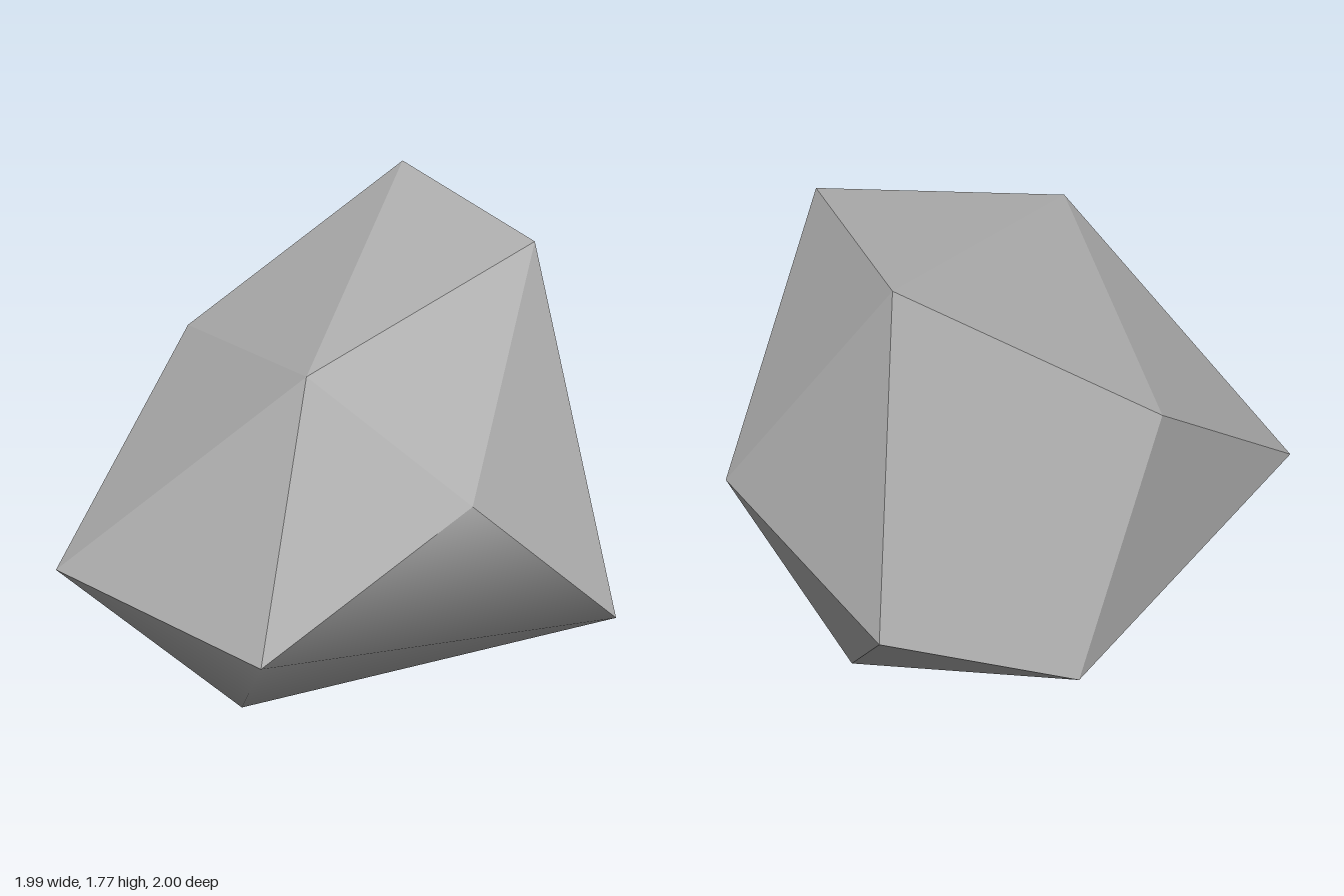
import * as THREE from 'three';

// Corner points of the boulder
const corners = {
  A: [-0.47, 1.77, -0.73], // crown, back
  B: [0.395, 1.73, -0.42], // crown, left
  C: [0.21, 1.49, 0.57], // brow
  D: [-0.88, 1.22, 0.06], // right shoulder
  E: [-0.665, 0.61, 0.97], // front, right
  F: [0.385, 0.64, 1.0], // front, left
  G: [0.725, 1.09, 0.33], // left shoulder
  H: [0.99, 0.54, -0.17], // left tip
  I: [-1.0, 0.41, -0.385], // right tip
  J: [-0.19, 0.0, 0.525], // foot, front
  K: [0.17, 0.87, -1.0], // back, left
  L: [-0.67, 0.64, -0.965], // back, right
  M: [-0.13, 0.11, -0.71], // foot, back
};
const names = Object.keys(corners);

// Triangles named by their corners
const facetFaces = 'ABC ACD BCG CGF CFE CED DEI ADI AIL ALK AKB BKH BHG EJI HKM KLM LIM MIJ';
const undersideFaces = 'GHF FHJ EFJ HMJ';

// Builds the faces, turning each one outward from the middle of the stone
function buildFaces(faces, smooth) {
  const middle = new THREE.Vector3(0, 0.85, 0);
  const index = [];
  for (const face of faces.split(' ')) {
    const [a, b, c] = [...face].map((n) => new THREE.Vector3(...corners[n]));
    const ids = [...face].map((n) => names.indexOf(n));
    const normal = new THREE.Triangle(a, b, c).getNormal(new THREE.Vector3());
    if (normal.dot(a.clone().sub(middle)) < 0) ids.reverse();
    index.push(...ids);
  }
  let geometry = new THREE.BufferGeometry();
  geometry.setAttribute('position', new THREE.Float32BufferAttribute(Object.values(corners).flat(), 3));
  geometry.setIndex(index);
  if (!smooth) geometry = geometry.toNonIndexed();
  geometry.computeVertexNormals();
  return geometry;
}

export function createModel() {
  const group = new THREE.Group();
  group.name = 'boulder';
  const stone = new THREE.MeshStandardMaterial({ color: 0xb0b0b0 });
  stone.name = 'stone grey';

  // Sharp facets of the top, back and right side
  const facets = new THREE.Mesh(buildFaces(facetFaces, false), stone);
  facets.name = 'sharpFacets';

  // Softly shaded lower front and left side
  const underside = new THREE.Mesh(buildFaces(undersideFaces, true), stone);
  underside.name = 'smoothUnderside';

  group.add(facets, underside);
  return group;
}
